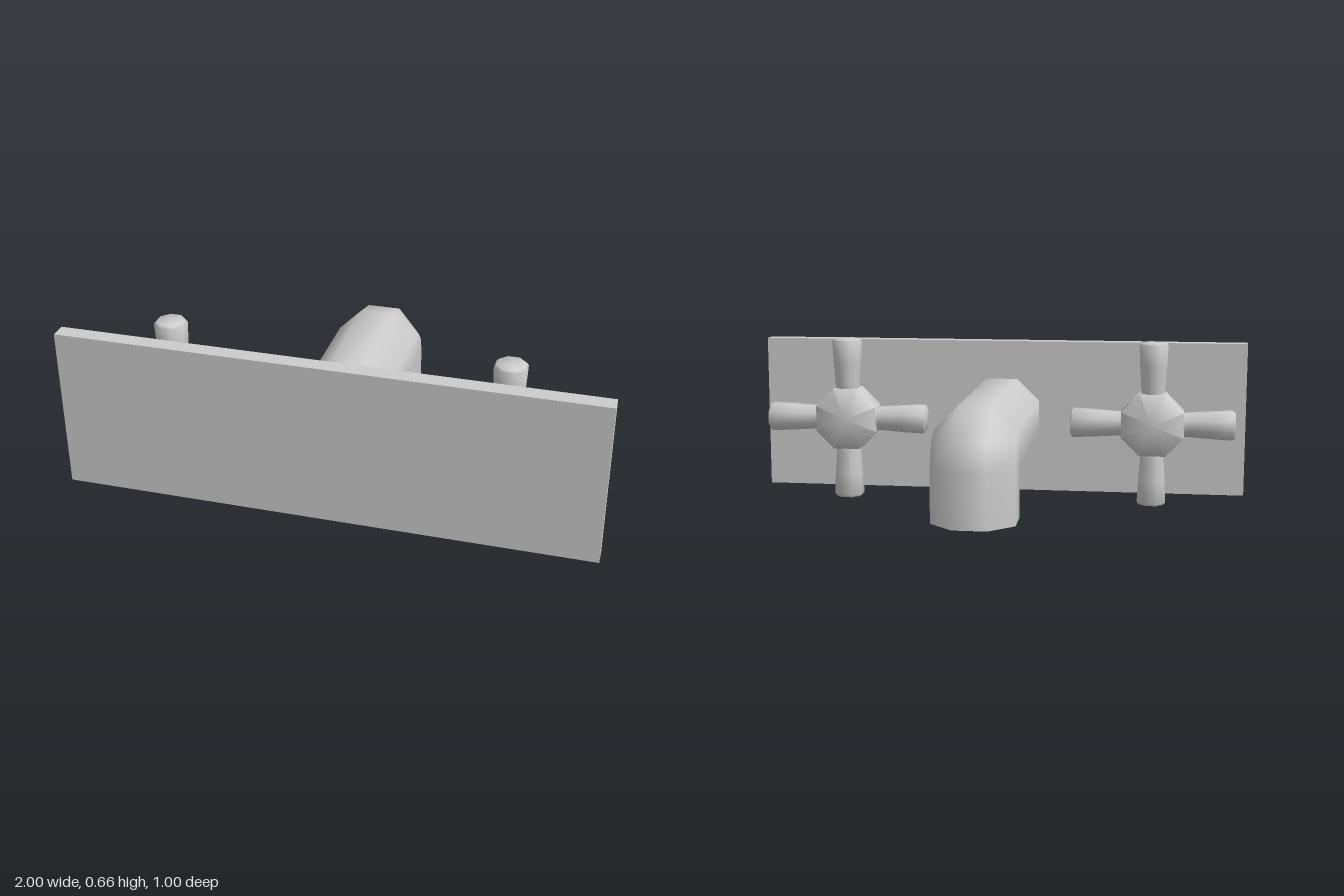
import * as THREE from 'three';
import { toCreasedNormals } from 'three/addons/utils/BufferGeometryUtils.js';

const SIDES = 8;
const CORNER = 1 / Math.cos(Math.PI / SIDES); // flat-to-corner radius
const AXIS_Y = 0.33;

const grey = new THREE.MeshStandardMaterial({ color: 0xcccccc });
const greyOpen = new THREE.MeshStandardMaterial({ color: 0xcccccc, side: THREE.DoubleSide });

function mesh(name, geometry, material = grey) {
  const m = new THREE.Mesh(geometry, material);
  m.name = name;
  return m;
}

// Eight-sided turned part; profile is [flat radius, height] from bottom to top
function turned(profile, crease) {
  const points = profile.map(([r, y]) => new THREE.Vector2(r * CORNER, y));
  const geometry = new THREE.LatheGeometry(points, SIDES, Math.PI / SIDES);
  return toCreasedNormals(geometry, crease);
}

// Octagonal pipe: straight run, rounded outer elbow, mitred inner corner, open outlet
function spoutGeometry() {
  const radius = 0.155, downZ = -0.345, startZ = 0.44, outletY = 0.065;
  const half = radius * Math.tan(Math.PI / SIDES);
  const bendZ = downZ + half, bendY = AXIS_Y - half;
  const rings = [];
  const addRing = (place) => {
    const ring = [];
    for (let k = 0; k < SIDES; k++) {
      const a = ((k + 0.5) / SIDES) * Math.PI * 2;
      const offset = radius * CORNER * Math.sin(a);
      const [y, z] = place(offset);
      ring.push(new THREE.Vector3(radius * CORNER * Math.cos(a), y, z));
    }
    rings.push(ring);
  };
  addRing((o) => [AXIS_Y + o, startZ]);
  for (let i = 0; i <= 3; i++) {
    const t = (i / 3) * Math.PI / 2;
    addRing((o) => {
      const r = o + half;
      if (r < -0.001) return [AXIS_Y + o, downZ - o];
      return [bendY + r * Math.cos(t), bendZ - r * Math.sin(t)];
    });
  }
  addRing((o) => [outletY, downZ - o]);

  const positions = [];
  const addTriangle = (...corners) => {
    if (new THREE.Triangle(...corners).getArea() < 1e-7) return;
    corners.forEach((p) => positions.push(p.x, p.y, p.z));
  };
  for (let j = 0; j < rings.length - 1; j++) {
    for (let k = 0; k < SIDES; k++) {
      const n = (k + 1) % SIDES;
      const a = rings[j][k], b = rings[j][n], c = rings[j + 1][n], d = rings[j + 1][k];
      addTriangle(a, d, b);
      addTriangle(b, d, c);
    }
  }
  const geometry = new THREE.BufferGeometry();
  geometry.setAttribute('position', new THREE.Float32BufferAttribute(positions, 3));
  return toCreasedNormals(geometry, Math.PI / 3);
}

// Cross handle: stem, faceted hub with a shallow point, four flared arms
function createHandle(name) {
  const handle = new THREE.Group();
  handle.name = name;

  const stem = turned([[0.047, -0.13], [0.047, -0.045]], Math.PI / 3);
  stem.rotateX(-Math.PI / 2);
  handle.add(mesh('stem', stem));

  const hub = turned([[0, -0.047], [0.125, -0.047], [0.125, 0.046], [0, 0.076]], 1.4);
  hub.rotateX(-Math.PI / 2);
  handle.add(mesh('hub', hub));

  const arm = turned(
    [[0.046, 0.12], [0.047, 0.14], [0.053, 0.23], [0.057, 0.312], [0.056, 0.319], [0.049, 0.328], [0, 0.328]],
    1.2
  );
  for (let i = 0; i < 4; i++) {
    const m = mesh('arm', arm);
    m.rotation.z = (i * Math.PI) / 2;
    handle.add(m);
  }
  return handle;
}

export function createModel() {
  const model = new THREE.Group();
  model.name = 'wallTap';

  const plate = mesh('wallPlate', new THREE.BoxGeometry(2, 0.625, 0.062));
  plate.position.set(0, AXIS_Y, 0.469);
  model.add(plate);

  model.add(mesh('spout', spoutGeometry(), greyOpen));

  for (const side of [1, -1]) {
    const handle = createHandle(side > 0 ? 'leftHandle' : 'rightHandle');
    handle.position.set(side * 0.625, 0.329, 0.313);
    model.add(handle);
  }
  return model;
}
